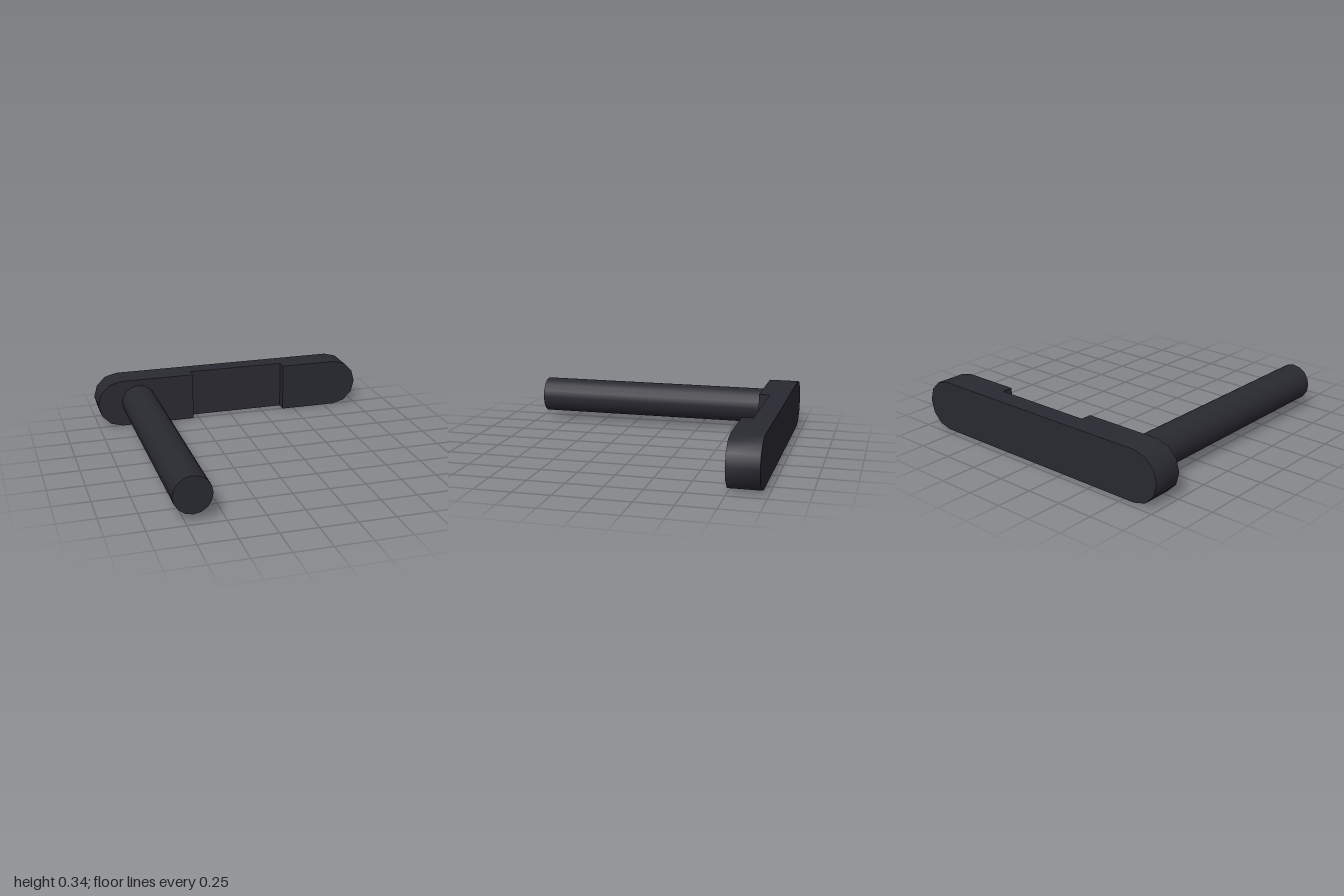
import * as THREE from 'three';
import { toCreasedNormals } from 'three/addons/utils/BufferGeometryUtils.js';

const R = 0.172;                               // half height of the bar
const BACK = -0.955, FACE = -0.745, NOTCH = -0.82;
const NOTCH_LEFT = 0.417, NOTCH_RIGHT = -0.29; // sides of the recess

export function createModel() {
  const group = new THREE.Group();
  const steel = new THREE.MeshStandardMaterial({ color: 0x292931 });
  steel.name = 'dark steel';

  const add = (name, geometry, x, y, z) => {
    const mesh = new THREE.Mesh(geometry, steel);
    mesh.name = name;
    mesh.position.set(x, y, z);
    group.add(mesh);
    return mesh;
  };

  // Full-depth end of the bar: rounded outside, square at the recess
  const barEnd = (name, side, inner) => {
    const shape = new THREE.Shape();
    const start = -side * Math.PI / 2;
    shape.absarc(side * (1 - R), 0, R, start, start + Math.PI, false);
    shape.lineTo(inner, R * side);
    shape.lineTo(inner, -R * side);
    shape.closePath();
    const geometry = new THREE.ExtrudeGeometry(shape, {
      depth: FACE - BACK, bevelEnabled: false, curveSegments: 3,
    });
    add(name, toCreasedNormals(geometry, 0.7), 0, R, BACK);
  };
  barEnd('leftBarEnd', 1, NOTCH_LEFT);
  barEnd('rightBarEnd', -1, NOTCH_RIGHT);

  // Thinner middle of the bar behind the recess
  add('barMiddle', new THREE.BoxGeometry(NOTCH_LEFT - NOTCH_RIGHT, 2 * R, NOTCH - BACK),
    (NOTCH_LEFT + NOTCH_RIGHT) / 2, R, (NOTCH + BACK) / 2);

  // Long round pin standing out from the right end
  const length = 0.955 - FACE;
  const pin = add('pin', new THREE.CylinderGeometry(0.127, 0.127, length, 16),
    -0.699, R + 0.002, FACE + length / 2);
  pin.rotation.x = Math.PI / 2;

  return group;
}
